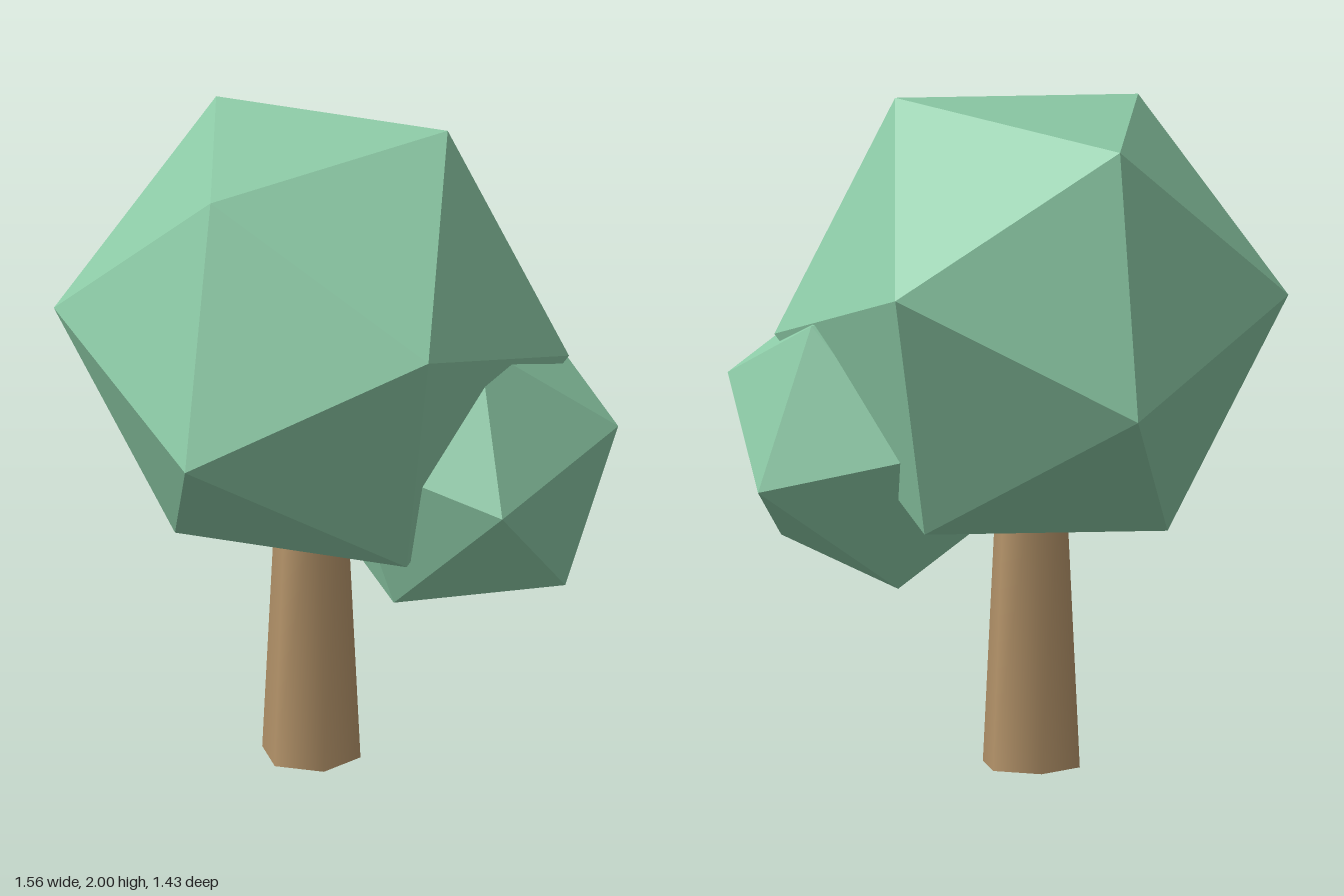
import * as THREE from 'three';

const leafGreen = new THREE.MeshStandardMaterial({ color: 0x8ccaa6, flatShading: true });
leafGreen.name = 'leafGreen';
const barkBrown = new THREE.MeshStandardMaterial({ color: 0xb5946a });
barkBrown.name = 'barkBrown';

// Faceted leaf ball, turned so that one of its edges runs between the directions a and b
function leafBall(name, centre, radius, a, b) {
  const p = new THREE.Vector3(...a);
  const q = new THREE.Vector3(...b);
  const y = p.clone().add(q).normalize();
  const z = p.clone().sub(q).cross(y).normalize();
  const x = y.clone().cross(z);
  const ball = new THREE.Mesh(new THREE.IcosahedronGeometry(radius, 0), leafGreen);
  ball.name = name;
  ball.quaternion.setFromRotationMatrix(new THREE.Matrix4().makeBasis(x, y, z));
  ball.position.set(...centre);
  return ball;
}

export function createModel() {
  const tree = new THREE.Group();
  tree.name = 'tree';

  // Tapered six-sided trunk, running up into the crown
  const trunk = new THREE.Mesh(new THREE.CylinderGeometry(0.1, 0.15, 1, 6), barkBrown);
  trunk.name = 'trunk';
  trunk.position.set(-0.048, 0.5, 0);
  tree.add(trunk);

  // Large crown and the small clump at its front left
  tree.add(leafBall('crown', [-0.048, 1.35, 0], 0.76, [0.388, 0.65, 0.1], [-0.382, 0.58, 0.3]));
  tree.add(leafBall('sideClump', [0.36, 0.993, 0.18], 0.494, [0.26, -0.358, 0.22], [-0.26, -0.358, 0.22]));

  return tree;
}
